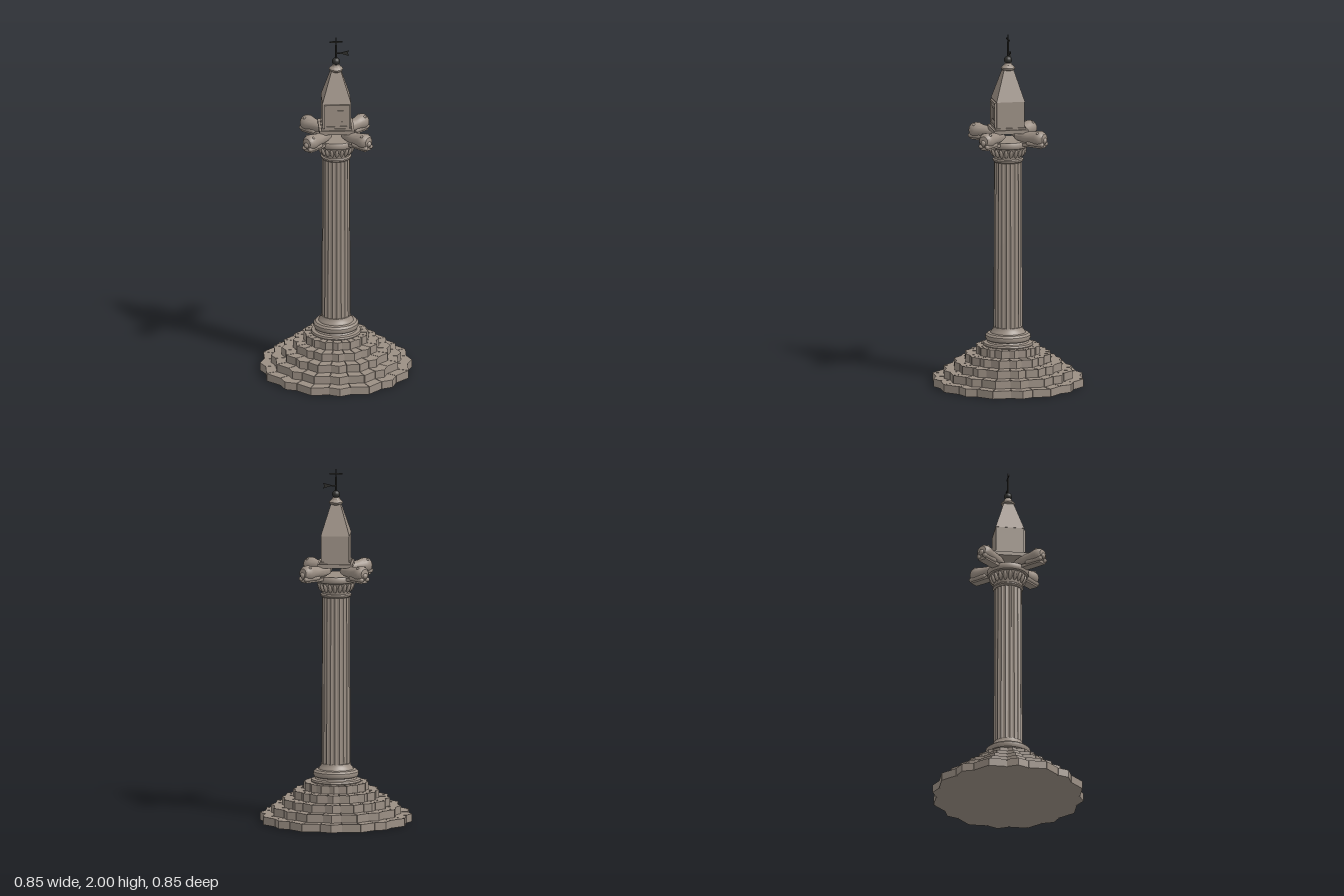
import * as THREE from 'three';
import { toCreasedNormals } from 'three/addons/utils/BufferGeometryUtils.js';

const stone = new THREE.MeshStandardMaterial({ color: 0x9b8f84 });
stone.name = 'stone';
const iron = new THREE.MeshStandardMaterial({ color: 0x2e2e2c });
iron.name = 'darkIron';

const rad = THREE.MathUtils.degToRad;

function add(parent, name, geo, mat = stone, x = 0, y = 0, z = 0) {
  const m = new THREE.Mesh(geo, mat);
  m.name = name;
  m.position.set(x, y, z);
  parent.add(m);
  return m;
}
const box = (w, h, d) => new THREE.BoxGeometry(w, h, d);
const lathe = (pts, seg = 40) =>
  toCreasedNormals(new THREE.LatheGeometry(pts.map(p => new THREE.Vector2(...p)), seg), 0.6);

// Upright prism standing on y = 0, from [angle, radius] corners
function prism(polar, height) {
  const shape = new THREE.Shape(polar.map(([a, r]) => new THREE.Vector2(r * Math.cos(a), r * Math.sin(a))));
  return new THREE.ExtrudeGeometry(shape, { depth: height, bevelEnabled: false }).rotateX(-Math.PI / 2);
}

// Corner angles and relative radii of one quarter of the scalloped steps
const CORNERS = [[-8.7, 0.945], [0, 1], [8.7, 0.945], [22.5, 1.01], [36.3, 0.945],
  [45, 1], [53.7, 0.945], [67.5, 1.01], [81.3, 0.945]];
const STONES = [[0, 1, 2], [2, 3], [3, 4], [4, 5, 6], [6, 7], [7, 8]];

function buildSteps(root) {
  const steps = new THREE.Group();
  steps.name = 'steps';
  root.add(steps);
  const radii = [0.427, 0.365, 0.305, 0.242, 0.182];
  const h = 0.045;
  radii.forEach((R, i) => {
    const inner = (radii[i + 1] ?? 0.12) * 0.85;
    const core = [];
    for (let q = 0; q < 4; q++) {
      for (const [a, k] of CORNERS.slice(0, -1)) core.push([rad(a + q * 90), R * k * 0.985]);
      for (const ids of STONES) {
        const last = ids.length - 1;
        const outline = (r, scaled) => ids.map((id, j) => {
          const side = j === 0 ? 1 : j === last ? -1 : 0; // narrow joint beside each stone
          return [rad(CORNERS[id][0] + q * 90) + side * 0.0018 / r, r * (scaled ? CORNERS[id][1] : 0.945)];
        });
        add(steps, 'stepStone', prism([...outline(R, true), ...outline(inner, false).reverse()], h), stone, 0, i * h);
      }
    }
    add(steps, 'stepCore', prism(core, h - 0.005), stone, 0, i * h);
  });
}

function buildColumn(root) {
  // Moulded base
  add(root, 'columnBase', lathe([[0, 0.222], [0.137, 0.222], [0.141, 0.23], [0.137, 0.24], [0.118, 0.244],
    [0.112, 0.252], [0.122, 0.257], [0.128, 0.27], [0.126, 0.283], [0.115, 0.294], [0.098, 0.297],
    [0.094, 0.307], [0.086, 0.315], [0.083, 0.33], [0, 0.33]], 48));

  // Fluted, slightly tapering shaft
  const flutes = 20, per = 6, outline = [];
  for (let i = 0; i < flutes * per; i++) {
    const t = (i % per) / per;
    outline.push([(i / (flutes * per)) * Math.PI * 2, 0.082 - 0.007 * Math.sin(Math.PI * t)]);
  }
  const shaft = prism(outline, 0.98);
  const p = shaft.attributes.position;
  for (let i = 0; i < p.count; i++) {
    const k = 1 - 0.05 * p.getY(i) / 0.98;
    p.setXYZ(i, p.getX(i) * k, p.getY(i), p.getZ(i) * k);
  }
  add(root, 'flutedShaft', toCreasedNormals(shaft, 0.6), stone, 0, 0.31);

  // Capital with a ring of carved eggs
  add(root, 'capital', lathe([[0, 1.275], [0.078, 1.275], [0.086, 1.283], [0.086, 1.291], [0.079, 1.297],
    [0.082, 1.315], [0.092, 1.34], [0.103, 1.36], [0.113, 1.364], [0.118, 1.372], [0.118, 1.39],
    [0.112, 1.4], [0, 1.4]], 48));
  const eggs = new THREE.Group();
  eggs.name = 'capitalEggs';
  root.add(eggs);
  for (let i = 0; i < 20; i++) {
    const pivot = new THREE.Group();
    pivot.rotation.y = (i / 20) * Math.PI * 2;
    eggs.add(pivot);
    const egg = add(pivot, 'carvedEgg', new THREE.SphereGeometry(1, 10, 8), stone, 0.092, 1.332);
    egg.scale.set(0.01, 0.027, 0.011);
    egg.rotation.z = -0.4;
  }
}

// Four crouching beasts reaching out along the diagonals
function buildBeasts(root) {
  const body = lathe([[0, 0.045], [0.016, 0.05], [0.024, 0.075], [0.03, 0.11], [0.034, 0.15], [0.037, 0.18],
    [0.042, 0.2], [0.043, 0.218], [0.039, 0.235], [0.028, 0.247], [0, 0.252]], 20).rotateZ(-Math.PI / 2);
  const paw = new THREE.CapsuleGeometry(0.013, 0.09, 4, 10).rotateZ(-Math.PI / 2);
  for (let i = 0; i < 4; i++) {
    const beast = new THREE.Group();
    beast.name = 'cornerBeast';
    beast.rotation.y = Math.PI / 4 + i * Math.PI / 2;
    root.add(beast);
    add(beast, 'beastBody', body, stone, 0, 1.424).rotation.z = 0.03;
    add(beast, 'beastPlinth', box(0.16, 0.018, 0.05), stone, 0.16, 1.388);
    add(beast, 'beastMuzzle', new THREE.SphereGeometry(0.018, 12, 8), stone, 0.243, 1.422);
    for (const s of [-1, 1]) {
      add(beast, 'beastPaw', paw, stone, 0.197, 1.4, s * 0.021);
      add(beast, 'beastEar', new THREE.SphereGeometry(0.009, 8, 6), stone, 0.215, 1.462, s * 0.024);
    }
  }
}

function buildLantern(root) {
  add(root, 'lanternSlab', box(0.197, 0.022, 0.197), stone, 0, 1.461);
  add(root, 'lanternFoot', box(0.172, 0.014, 0.172), stone, 0, 1.475);
  add(root, 'lanternBlock', box(0.158, 0.155, 0.158), stone, 0, 1.5525);

  // Framed panel on the front
  const square = (s, Type) => new Type([[-s, -s], [s, -s], [s, s], [-s, s]].map(c => new THREE.Vector2(...c)));
  const frame = (outer, inner, depth) => {
    const shape = square(outer, THREE.Shape);
    shape.holes.push(square(inner, THREE.Path));
    return new THREE.ExtrudeGeometry(shape, { depth, bevelEnabled: false });
  };
  add(root, 'panelFrame', frame(0.07, 0.058, 0.012), stone, 0, 1.555, 0.078);
  add(root, 'panelFace', box(0.118, 0.118, 0.006), stone, 0, 1.555, 0.081);
  add(root, 'panelInnerFrame', frame(0.036, 0.031, 0.005), stone, 0, 1.555, 0.083);

  // Four-sided roof; radii are to the corners
  const roof = new THREE.CylinderGeometry(0.028 * Math.SQRT2, 0.081 * Math.SQRT2, 0.172, 4, 1)
    .rotateY(Math.PI / 4);
  add(root, 'roof', toCreasedNormals(roof, 0.3), stone, 0, 1.716);
  add(root, 'roofCap', lathe([[0, 1.798], [0.03, 1.798], [0.038, 1.806], [0.039, 1.814], [0.032, 1.822],
    [0.024, 1.828], [0.02, 1.84], [0, 1.842]], 24));
}

function buildVane(root) {
  add(root, 'finialBall', new THREE.SphereGeometry(0.022, 20, 14), iron, 0, 1.857);
  add(root, 'vaneRod', new THREE.CylinderGeometry(0.004, 0.005, 0.13, 10), iron, 0, 1.935);
  add(root, 'crossBar', box(0.074, 0.007, 0.007), iron, 0, 1.973);
  const flag = new THREE.Shape([[0, -0.003], [0.03, -0.003], [0.072, -0.016], [0.066, 0], [0.072, 0.014],
    [0.03, 0.004], [0, 0.003]].map(c => new THREE.Vector2(...c)));
  add(root, 'vaneFlag', new THREE.ExtrudeGeometry(flag, { depth: 0.006, bevelEnabled: false }),
    iron, 0, 1.905, -0.003);
}

export function createModel() {
  const root = new THREE.Group();
  root.name = 'monumentColumn';
  buildSteps(root);
  buildColumn(root);
  buildBeasts(root);
  buildLantern(root);
  buildVane(root);
  return root;
}
